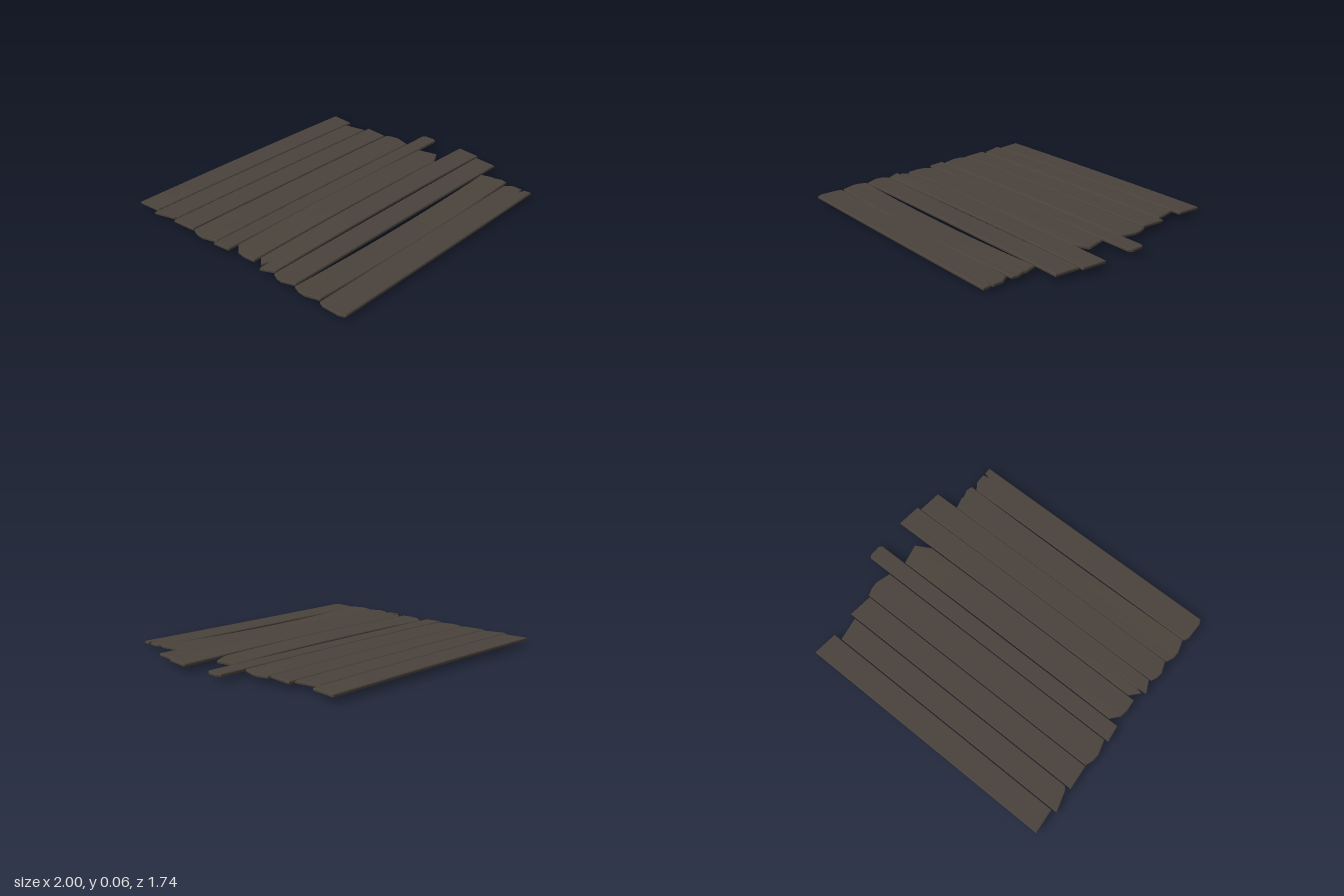
import * as THREE from 'three';

const THICK = .021, BEVEL = .005, GAP = .006, BACK_Z = -.87, X_SEGS = 12;

// How a plank end is worn: [position across the plank from back to front, depth cut away]
const WEAR = {
  slant: [[0, 0], [1, .014]],
  lean: [[0, .028], [1, 0]],
  skewed: [[0, 0], [.87, .04], [1, .06]],
  rounded: [[0, .022], [.25, .004], [.5, 0], [1, .028]],
  clipped: [[0, .014], [.18, 0], [.82, 0], [1, .016]],
  backCorner: [[0, .057], [.3, .009], [.6, 0], [1, .007]],
  frontCorner: [[0, .03], [.7, 0], [1, .1]],
  backSplit: [[0, .08], [.36, .028], [.44, .08], [.48, 0], [1, .04]],
  frontSplit: [[0, .035], [.28, 0], [.63, 0], [.67, .05], [.76, 0], [1, 0]],
  wavy: [[0, .032], [.4, .012], [.49, .017], [.78, 0], [1, .009]],
};

// Back to front: width, height at the ends, bow at mid length, then reach and wear of both ends
const PLANKS = [
  [.165, .043, .004, -.98, 'slant', .81, 'slant'],
  [.159, .043, .003, -1, 'skewed', .77, 'lean'],
  [.165, .043, .003, -.98, 'slant', .81, 'slant'],
  [.199, .040, .004, -.985, 'rounded', .832, 'rounded'],
  [.113, .042, .003, -.982, 'slant', .992, 'clipped'],
  [.191, .042, .011, -.957, 'backCorner', .81, 'frontCorner'],
  [.163, .042, .011, -.985, 'backSplit', .996, 'slant'],
  [.160, .039, .003, -.982, 'rounded', .957, 'slant'],
  [.183, .035, -.02, -.985, 'rounded', .812, 'wavy'],
  [.184, .027, -.002, -.98, 'clipped', .8, 'frontSplit'],
];

// Depth cut away at v, interpolated between the points of a wear outline
function cutAt(outline, v) {
  const i = Math.max(1, outline.findIndex(([k]) => v <= k));
  const [a, cutA] = outline[i - 1], [b, cutB] = outline[i];
  return THREE.MathUtils.mapLinear(v, a, b, cutA, cutB);
}

// A subdivided box whose rows follow both worn ends, with bevelled rims and a bow
function plankGeometry([width, height, bow, negX, negWear, posX, posWear]) {
  const neg = WEAR[negWear], pos = WEAR[posWear];
  const rows = [...new Set([...neg, ...pos].map(([v]) => v))].sort((a, b) => a - b);
  const n = rows.length - 1;
  const geo = new THREE.BoxGeometry(1, 1, 1, X_SEGS, 3, n);
  const p = geo.attributes.position;
  for (let i = 0; i < p.count; i++) {
    const t = p.getX(i) + .5, h = p.getY(i);
    const v = rows[Math.round((p.getZ(i) + .5) * n)];
    const inset = Math.abs(h) > .49 ? BEVEL : 0;
    const x0 = negX + cutAt(neg, v) + inset;
    const x1 = posX - cutAt(pos, v) - inset;
    const z = THREE.MathUtils.clamp(v * width, inset, width - inset);
    const y = Math.sign(h) * (THICK / 2 - BEVEL + inset) + bow * (1 - (2 * t - 1) ** 2);
    p.setXYZ(i, THREE.MathUtils.lerp(x0, x1, t), height + y, z);
  }
  geo.computeVertexNormals();
  return geo;
}

export function createModel() {
  const group = new THREE.Group();
  group.name = 'plankFloor';
  const wood = new THREE.MeshStandardMaterial({ color: 0x4a433c });
  wood.name = 'dark weathered wood';
  wood.flatShading = true;

  // Planks laid side by side from the back edge
  let z = BACK_Z;
  PLANKS.forEach((spec, i) => {
    const plank = new THREE.Mesh(plankGeometry(spec), wood);
    plank.name = `plank${i + 1}`;
    plank.position.z = z;
    z += spec[0] + GAP;
    group.add(plank);
  });
  return group;
}
